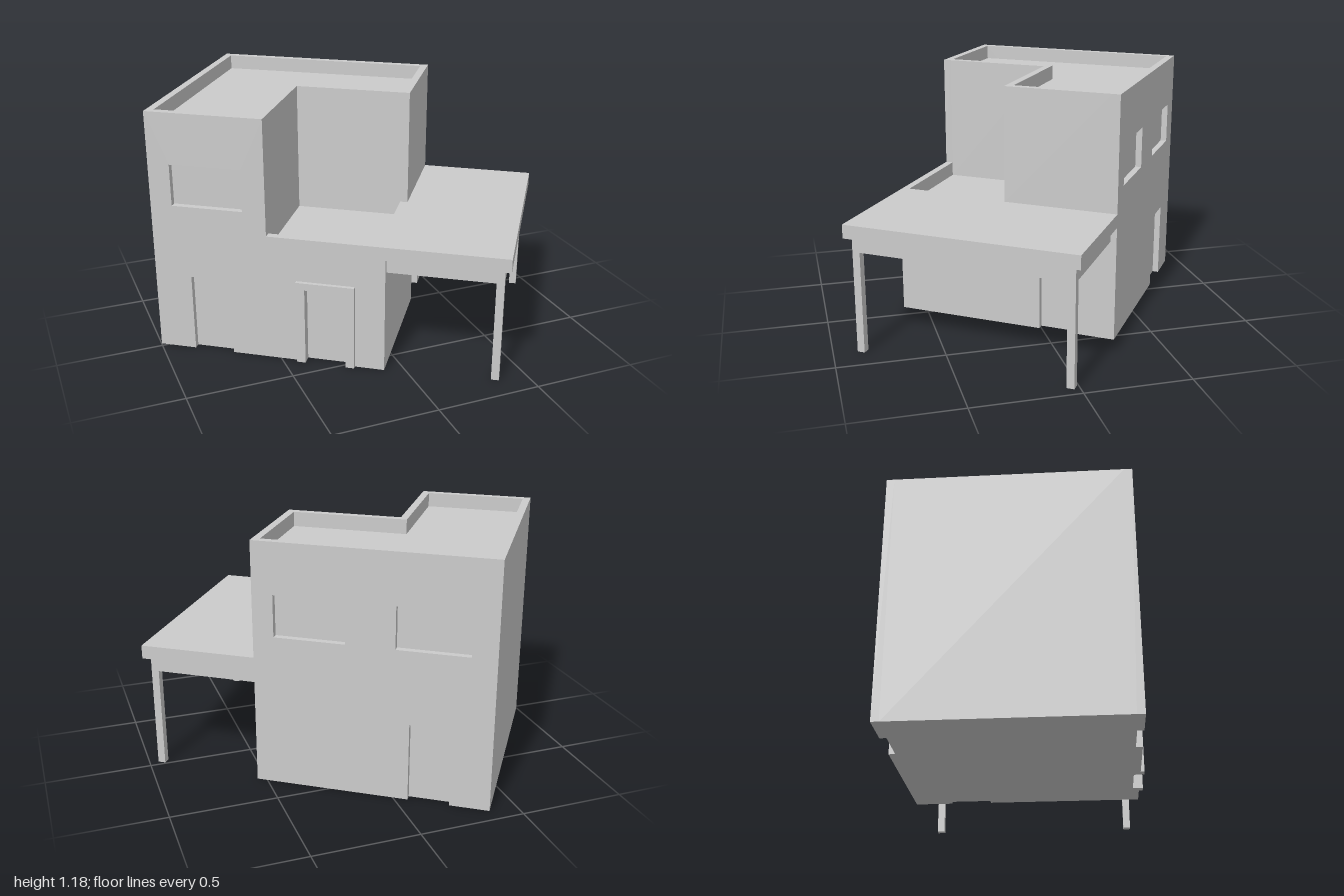
import * as THREE from 'three';

export function createModel() {
  const mat = new THREE.MeshStandardMaterial({ color: 0xcccccc, flatShading: true });
  const W = 1.1055;     // side of the square house plan
  const L = 1.663;      // house plus canopy
  const N = 0.552;      // corner of the upper storey notch
  const T = 0.036;      // wall and parapet thickness
  const R = 0.03;       // depth of door and window recesses
  const H = 1.18, TERRACE = 0.625, LIP = 0.07;
  const DOOR = 0.38;

  // The plan is laid out from one corner, then turned and centred.
  const plan = new THREE.Group();
  plan.name = 'house';
  plan.position.set(-L / 2, 0, -W / 2);

  const add = (name, geometry, parent = plan) => {
    const mesh = new THREE.Mesh(geometry, mat);
    mesh.name = name;
    parent.add(mesh);
    return mesh;
  };

  // Box given by its two corners
  const block = (name, x0, x1, y0, y1, z0, z1) => {
    const g = new THREE.BoxGeometry(x1 - x0, y1 - y0, z1 - z0);
    g.translate((x0 + x1) / 2, (y0 + y1) / 2, (z0 + z1) / 2);
    return add(name, g);
  };

  // Wall panel: top profile, door notches in the base and window holes
  const wall = (name, start, end, top, doors = [], windows = [], depth = T, doorTop = DOOR) => {
    const shape = new THREE.Shape();
    shape.moveTo(start, 0);
    for (const [a, b] of doors) {
      shape.lineTo(a, 0);
      shape.lineTo(a, doorTop);
      shape.lineTo(b, doorTop);
      shape.lineTo(b, 0);
    }
    shape.lineTo(end, 0);
    for (const [x, y] of top) shape.lineTo(x, y);
    shape.closePath();
    for (const [a, b] of windows) {
      const hole = new THREE.Path();
      hole.moveTo(a, 0.735);
      hole.lineTo(a, 0.935);
      hole.lineTo(b, 0.935);
      hole.lineTo(b, 0.735);
      hole.closePath();
      shape.holes.push(hole);
    }
    return add(name, new THREE.ExtrudeGeometry(shape, { depth, bevelEnabled: false }));
  };

  // Solid cores; their tops are the roof and terrace floors
  block('upperRoofCore', R, N - R, 0, H - LIP, R, W - R);
  block('upperRoofCore', N - R, W - R, 0, H - LIP, R, N - R);
  block('terraceCore', N - R, W - R, 0, TERRACE - LIP, N - R, W - R);

  // Outer walls, rising past the floors as parapets
  const front = wall('frontWall', 0, W, [[W, TERRACE], [N, TERRACE], [N, H], [0, H]],
    [[0.177, 0.371], [0.732, 0.926]], [[0.104, 0.442]]);
  front.position.z = W - T;

  wall('backWall', 0, W, [[W, H], [0, H]], [[0.184, 0.377]], [[0.114, 0.447], [0.674, 1.007]]);

  const canopySide = wall('canopySideWall', T, W - T,
    [[W - T, TERRACE], [N, TERRACE], [N, H], [T, H]], [[0.18, 0.374]]);
  canopySide.rotation.y = -Math.PI / 2;
  canopySide.position.x = W;

  const blind = wall('blindWall', T, W - T, [[W - T, H], [T, H]]);
  blind.rotation.y = -Math.PI / 2;
  blind.position.x = T;

  // Upper storey walls around the terrace
  block('terraceWall', N - T, W - T, TERRACE - LIP, H, N - T, N);
  block('terraceWall', N - T, N, TERRACE - LIP, H, N, W - T);

  // Raised surround of the main door
  const surround = wall('doorSurround', 0.69, 0.966, [[0.966, 0.415], [0.69, 0.415]],
    [[0.732, 0.926]], [], 0.018);
  surround.position.z = W;

  // Canopy slab with a frame of beams on two corner posts
  const D = 0.029, BEAM = 0.49, SLAB = 0.56;
  block('canopySlab', W, L, SLAB, TERRACE, 0, W);
  block('outerBeam', L - D - T, L - D, BEAM, SLAB, D, W - D);
  for (const z of [D, W - D - T]) {
    block('sideBeam', W, L - D - T, BEAM, SLAB, z, z + T);
    block('canopyPost', L - D - T, L - D, 0, BEAM, z, z + T);
  }

  const turned = new THREE.Group();
  turned.name = 'turnedHouse';
  turned.rotation.y = -0.608;
  turned.add(plan);
  const model = new THREE.Group();
  model.name = 'twoStoreyHouse';
  model.add(turned);
  return model;
}
